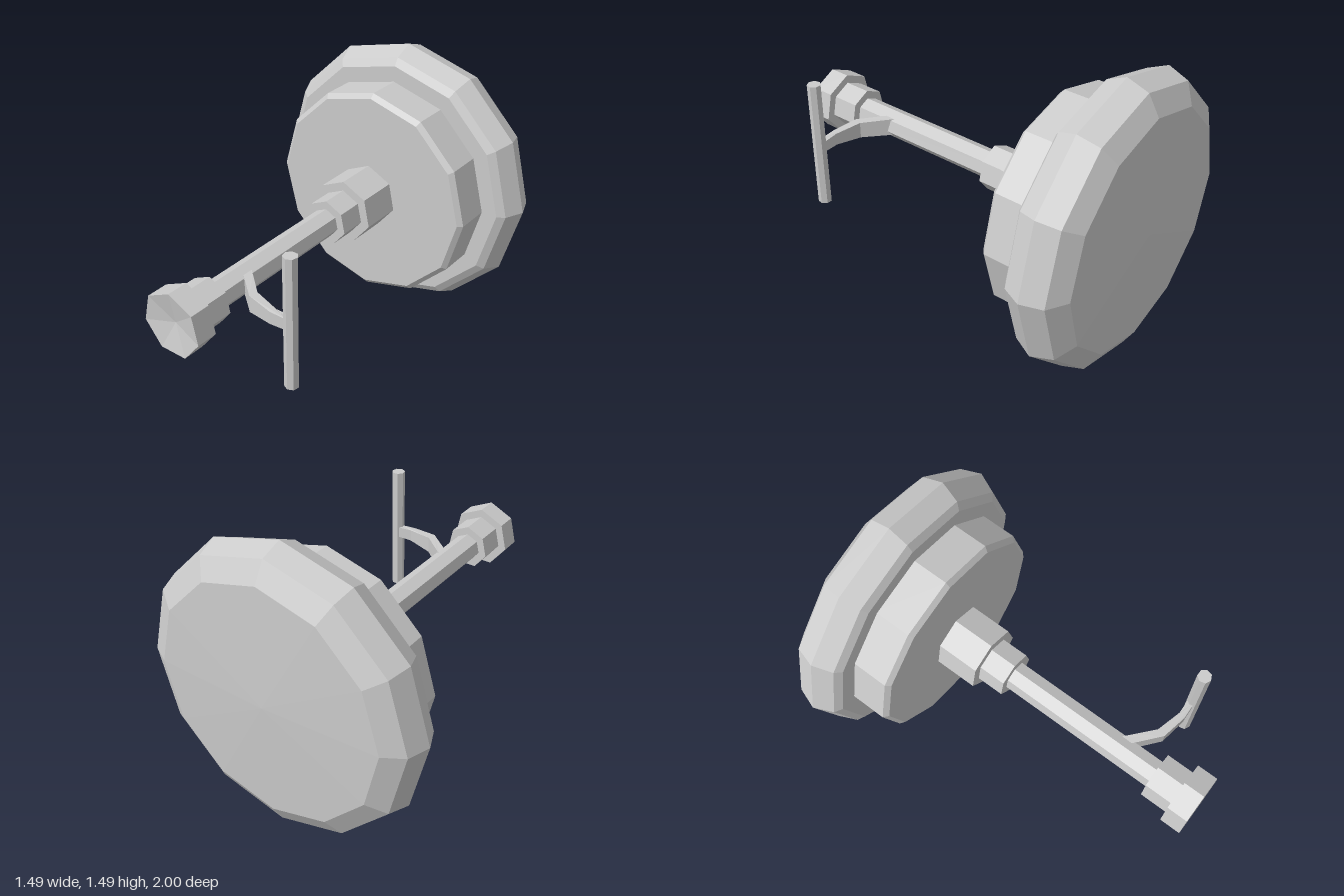
import * as THREE from 'three';

const AXIS_Y = 0.75;
const material = new THREE.MeshStandardMaterial({ color: 0xcccccc, flatShading: true });

// Faceted solid turned around the z axis; profile is [radius, z] from back to front
function turned(name, sides, profile) {
  const points = profile.map(([r, z]) => new THREE.Vector2(r, z));
  const geometry = new THREE.LatheGeometry(points, sides, Math.PI);
  geometry.rotateX(Math.PI / 2);
  geometry.translate(0, AXIS_Y, 0);
  const mesh = new THREE.Mesh(geometry, material);
  mesh.name = name;
  return mesh;
}

export function createModel() {
  const group = new THREE.Group();
  group.name = 'wheelOnShaft';

  // Large bulging disc at the back, slightly domed
  group.add(turned('wheelDisc', 12, [
    [0, -1], [0.605, -0.978], [0.707, -0.92], [0.745, -0.81],
    [0.7, -0.71], [0.66, -0.685], [0, -0.685],
  ]));

  // Smaller drum with a bevelled front rim
  group.add(turned('drum', 12, [
    [0, -0.7], [0.575, -0.7], [0.575, -0.5], [0.55, -0.478], [0, -0.478],
  ]));

  // Stepped shaft with collars at both ends
  const steps = [
    ['rearHub', 0.17, -0.49, -0.255],
    ['rearCollar', 0.12, -0.26, -0.112],
    ['rod', 0.075, -0.12, 0.75],
    ['frontCollar', 0.12, 0.745, 0.895],
  ];
  for (const [name, r, back, front] of steps) {
    group.add(turned(name, 7, [[0, back], [r, back], [r, front], [0, front]]));
  }

  // End knob with a shallow dished face
  group.add(turned('endKnob', 7, [[0, 0.89], [0.165, 0.89], [0.165, 1], [0, 0.97]]));

  // Curved arm: outline seen from above, narrowing in height towards the grip
  const outline = [
    [0.03, 0.5], [0.07, 0.535], [0.18, 0.63], [0.32, 0.665], [0.41, 0.66],
    [0.41, 0.695], [0.31, 0.7], [0.17, 0.675], [0.05, 0.575], [0.03, 0.555],
  ].map(([x, z]) => new THREE.Vector2(x, z));
  const armGeometry = new THREE.ExtrudeGeometry(new THREE.Shape(outline), { depth: 1, bevelEnabled: false });
  armGeometry.translate(0, 0, -0.5);
  armGeometry.rotateX(Math.PI / 2);
  const pos = armGeometry.attributes.position;
  for (let i = 0; i < pos.count; i++) {
    const t = THREE.MathUtils.smoothstep(pos.getX(i), 0.1, 0.4);
    pos.setY(i, 0.757 + pos.getY(i) * THREE.MathUtils.lerp(0.094, 0.058, t));
  }
  armGeometry.computeVertexNormals();
  const arm = new THREE.Mesh(armGeometry, material);
  arm.name = 'gripArm';
  group.add(arm);

  // Upright grip bar
  const grip = new THREE.Mesh(new THREE.CylinderGeometry(0.035, 0.035, 0.697, 7), material);
  grip.name = 'gripBar';
  grip.position.set(0.418, 0.769, 0.685);
  group.add(grip);

  return group;
}
